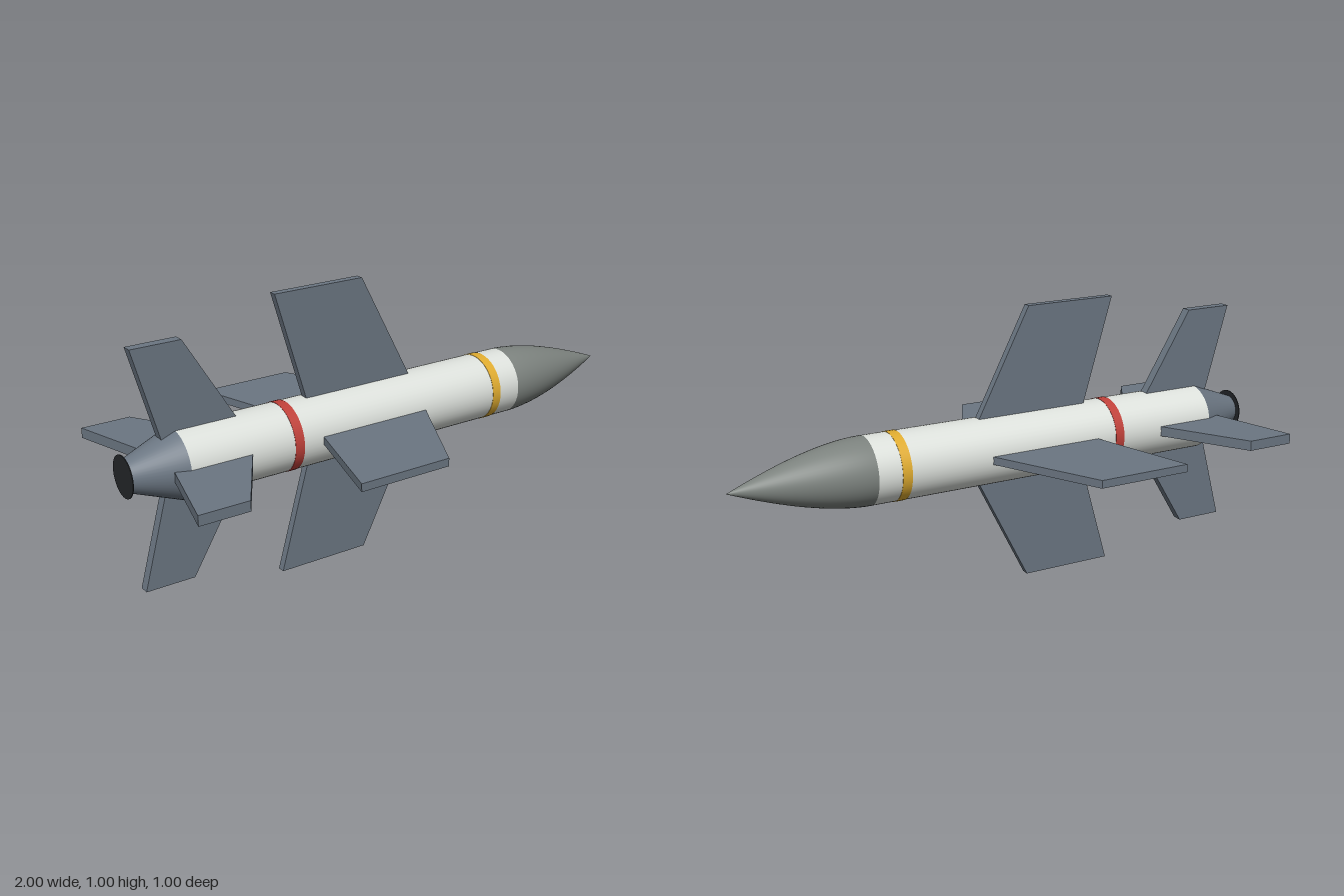
import * as THREE from 'three';

const AXIS_Y = 0.5;
const R = 0.12;
const SEG = 48;

const paint = (color) => new THREE.MeshStandardMaterial({ color });

function createModel() {
  const group = new THREE.Group();
  const white = paint(0xdde1dc), grey = paint(0x7c827e), steel = paint(0x6b7682);
  const yellow = paint(0xe0ac30), red = paint(0xc0413a), dark = paint(0x25282b);

  const add = (name, geometry, material, parent = group) => {
    const mesh = new THREE.Mesh(geometry, material);
    mesh.name = name;
    parent.add(mesh);
    return mesh;
  };

  // Round section along x, from x0 (radius r0) to x1 (radius r1)
  const section = (name, x0, x1, r0, r1, material, open = false) => {
    const g = new THREE.CylinderGeometry(r1, r0, x1 - x0, SEG, 1, open);
    g.rotateZ(-Math.PI / 2);
    g.translate((x0 + x1) / 2, AXIS_Y, 0);
    return add(name, g, material);
  };

  section('body', -0.82, 0.52, R, R, white);
  section('tailCone', -0.998, -0.82, 0.052, R, steel);
  section('nozzleDisc', -1, -0.997, 0.072, 0.072, dark);
  section('rearBand', -0.44, -0.405, R + 0.0012, R + 0.0012, red);
  section('frontBand', 0.4, 0.435, R + 0.0012, R + 0.0012, yellow);

  // Pointed nose, curved where it meets the body
  const curve = new THREE.QuadraticBezierCurve(
    new THREE.Vector2(R, 0.52), new THREE.Vector2(R, 0.7), new THREE.Vector2(0, 1));
  const nose = new THREE.LatheGeometry(curve.getPoints(20), SEG);
  nose.rotateZ(-Math.PI / 2);
  nose.translate(0, AXIS_Y, 0);
  add('nose', nose, grey);

  // Four flat fins around the axis; outline points are [x, distance from axis]
  const finSet = (name, outline, thickness) => {
    const shape = new THREE.Shape(outline.map(([x, r]) => new THREE.Vector2(x, r)));
    const g = new THREE.ExtrudeGeometry(shape, { depth: thickness, bevelEnabled: false });
    g.translate(0, 0, -thickness / 2);
    const set = new THREE.Group();
    set.name = name + 's';
    set.position.y = AXIS_Y;
    for (let i = 0; i < 4; i++) add(name, g, steel, set).rotation.x = i * Math.PI / 2;
    group.add(set);
  };
  finSet('wing', [[-0.327, 0.11], [0.1, 0.11], [-0.1, 0.5], [-0.44, 0.5]], 0.028);
  finSet('tailFin', [[-0.865, 0.08], [-0.59, 0.1], [-0.78, 0.414], [-0.957, 0.414]], 0.036);

  return group;
}

export { createModel };
